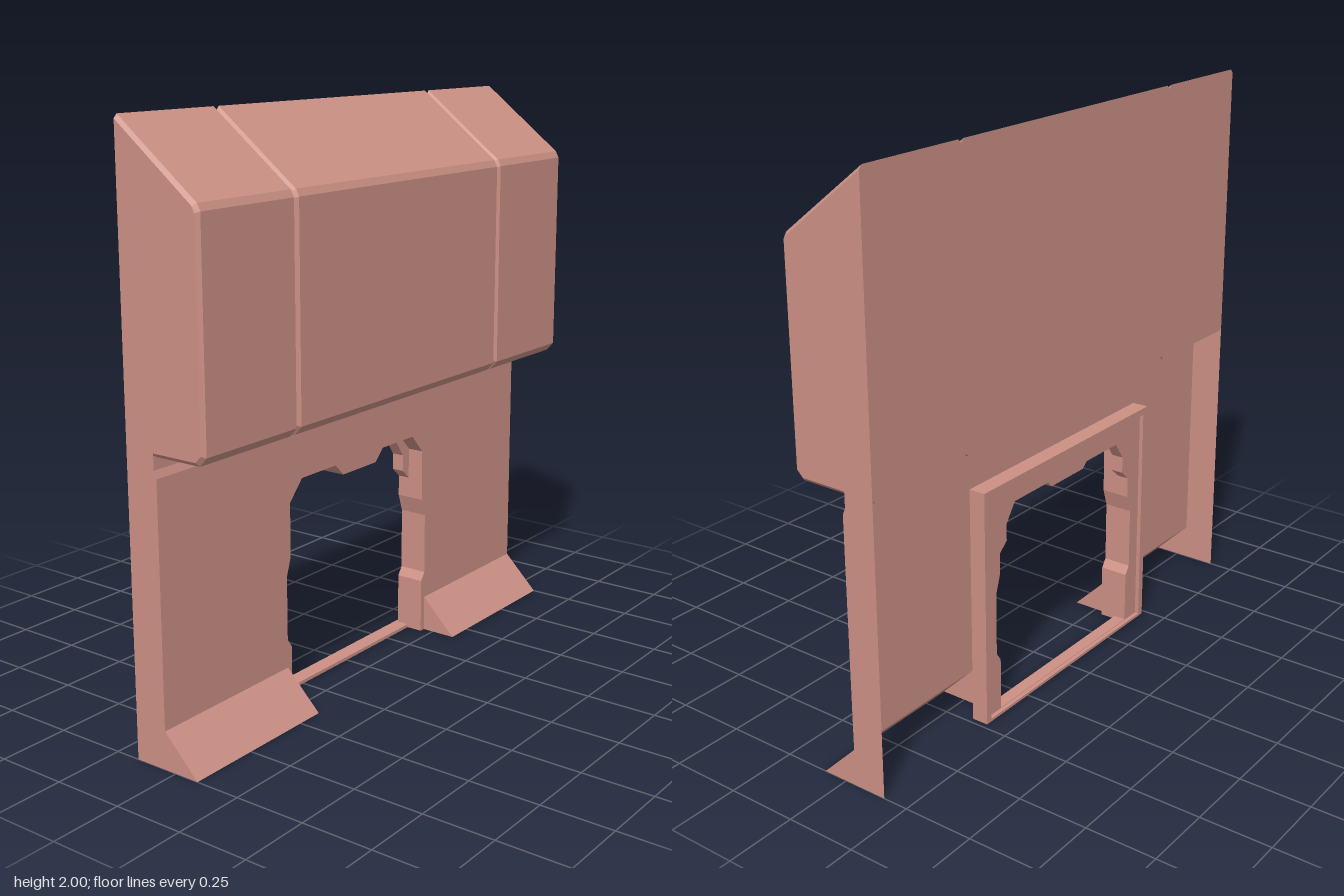
import * as THREE from 'three';

const material = new THREE.MeshStandardMaterial({
  color: 0xcc9085, flatShading: true, side: THREE.DoubleSide,
});

function add(group, name, geometry) {
  const mesh = new THREE.Mesh(geometry, material);
  mesh.name = name;
  group.add(mesh);
  return mesh;
}

// Skin of quads over equally long rows of [x, y, z] points
function loft(sections, closed = false) {
  const n = sections[0].length, index = [];
  for (let s = 0; s < sections.length - 1; s++) {
    for (let i = 0; i < (closed ? n : n - 1); i++) {
      const j = (i + 1) % n;
      const a = s * n + i, b = s * n + j, c = a + n, d = b + n;
      index.push(a, c, b, b, c, d);
    }
  }
  const geometry = new THREE.BufferGeometry();
  geometry.setAttribute('position', new THREE.Float32BufferAttribute(sections.flat(2), 3));
  geometry.setIndex(index);
  const flat = geometry.toNonIndexed();
  flat.computeVertexNormals();
  return flat;
}

const shapeOf = (pts) => new THREE.Shape(pts.map(([u, v]) => new THREE.Vector2(u, v)));
const mirrored = (half) => [...half, ...half.map(([z, y]) => [-z, y]).reverse()];
const atZ = (profile, z) => profile.map(([x, y]) => [x, y, z]);
const atX = (outline, x) => outline.map(([z, y]) => [x, y, z]);

// Symmetric (z, y) outline extruded along x
function slab(outline, hole, x0, x1) {
  const shape = shapeOf(outline);
  shape.holes.push(shapeOf(hole));
  return new THREE.ExtrudeGeometry(shape, { depth: x1 - x0, bevelEnabled: false })
    .rotateY(Math.PI / 2).translate(x0, 0, 0);
}

const BACK = -0.16, FACE = -0.04, FLARE_IN = 0.404, FLARE_TOP = 0.13;

// Halves of the doorway outlines as [z, y], from floor to lintel
const jamb = [[0.383, 0.2], [0.404, 0.23], [0.404, 0.455], [0.383, 0.52]];
const wallDoor = mirrored([[0.383, 0], ...jamb,
  [0.383, 0.707], [0.319, 0.777], [0.137, 0.777], [0.094, 0.734]]);
const frameDoor = mirrored([[0.383, 0.012], ...jamb, [0.383, 0.595], [0.345, 0.63],
  [0.345, 0.69], [0.30, 0.755], [0.115, 0.755], [0.094, 0.734]]);

export function createModel() {
  const model = new THREE.Group();
  model.name = 'wallSegment';

  // Overhanging upper block, with chamfered ends and two grooves
  const full = [[BACK, 2], [0.14, 1.768], [0.152, 1.745], [0.152, 1.035], [0.125, 1.005], [BACK, 1.005]];
  const inset = [[BACK, 1.987], [0.13, 1.76], [0.139, 1.74], [0.139, 1.04], [0.118, 1.018], [BACK, 1.018]];
  const middle = full.map(() => [0, 1.4]);
  const c = 0.012, g = 0.567;
  const sections = [atZ(middle, -1), atZ(inset, -1), atZ(full, -1 + c)];
  for (const z of [-g, g]) {
    sections.push(atZ(full, z - c), atZ(inset, z), atZ(full, z + c));
  }
  sections.push(atZ(full, 1 - c), atZ(inset, 1), atZ(middle, 1));
  add(model, 'upperBlock', loft(sections, true));

  // Thin lower wall around the doorway
  const wall = shapeOf([[-1, 0.94], [-1, FLARE_TOP], [-FLARE_IN, FLARE_TOP], [-FLARE_IN, 0],
    ...wallDoor.slice().reverse(),
    [FLARE_IN, 0], [FLARE_IN, FLARE_TOP], [1, FLARE_TOP], [1, 0.94]]);
  add(model, 'lowerWall', new THREE.ShapeGeometry(wall).rotateY(Math.PI / 2).translate(FACE, 0, 0));
  const neck = [[-0.05, 1.01], [-0.05, 0.965], [FACE, 0.94]];
  add(model, 'wallNeck', loft([atZ(neck, -1), atZ(neck, 1)]));

  // End panels and flared feet on both sides
  const endShape = shapeOf([[BACK, 0], [0.09, 0], [FACE, FLARE_TOP], [FACE, 0.94],
    [-0.05, 0.965], [-0.05, 1.018], [BACK, 1.018]]);
  const footEnd = shapeOf([[FACE, 0], [0.09, 0], [FACE, FLARE_TOP]]);
  const slope = [[FACE, FLARE_TOP], [0.09, 0]];
  for (const side of [1, -1]) {
    const end = new THREE.ShapeGeometry(endShape);
    if (side < 0) end.index.array.reverse();
    end.deleteAttribute('normal');
    end.computeVertexNormals();
    add(model, 'endPanel', end).position.z = side;
    add(model, 'footEnd', new THREE.ShapeGeometry(footEnd)).position.z = side * FLARE_IN;
    const z = [side * FLARE_IN, side].sort((a, b) => a - b);
    add(model, 'flaredFoot', loft([atZ(slope, z[0]), atZ(slope, z[1])]));
  }

  // Doorway lining, then the frame plate and its raised rim at the back
  add(model, 'doorLining', loft([atX(wallDoor, FACE), atX(wallDoor, -0.1)]));
  const outer = [[0.48, 0], [0.48, 0.85], [-0.48, 0.85], [-0.48, 0]];
  const inner = [[0.455, 0.01], [0.455, 0.825], [-0.455, 0.825], [-0.455, 0.01]];
  add(model, 'doorFrame', slab(outer, frameDoor, -0.145, -0.1));
  add(model, 'doorFrameRim', slab(outer, inner, BACK, -0.145));

  return model;
}
